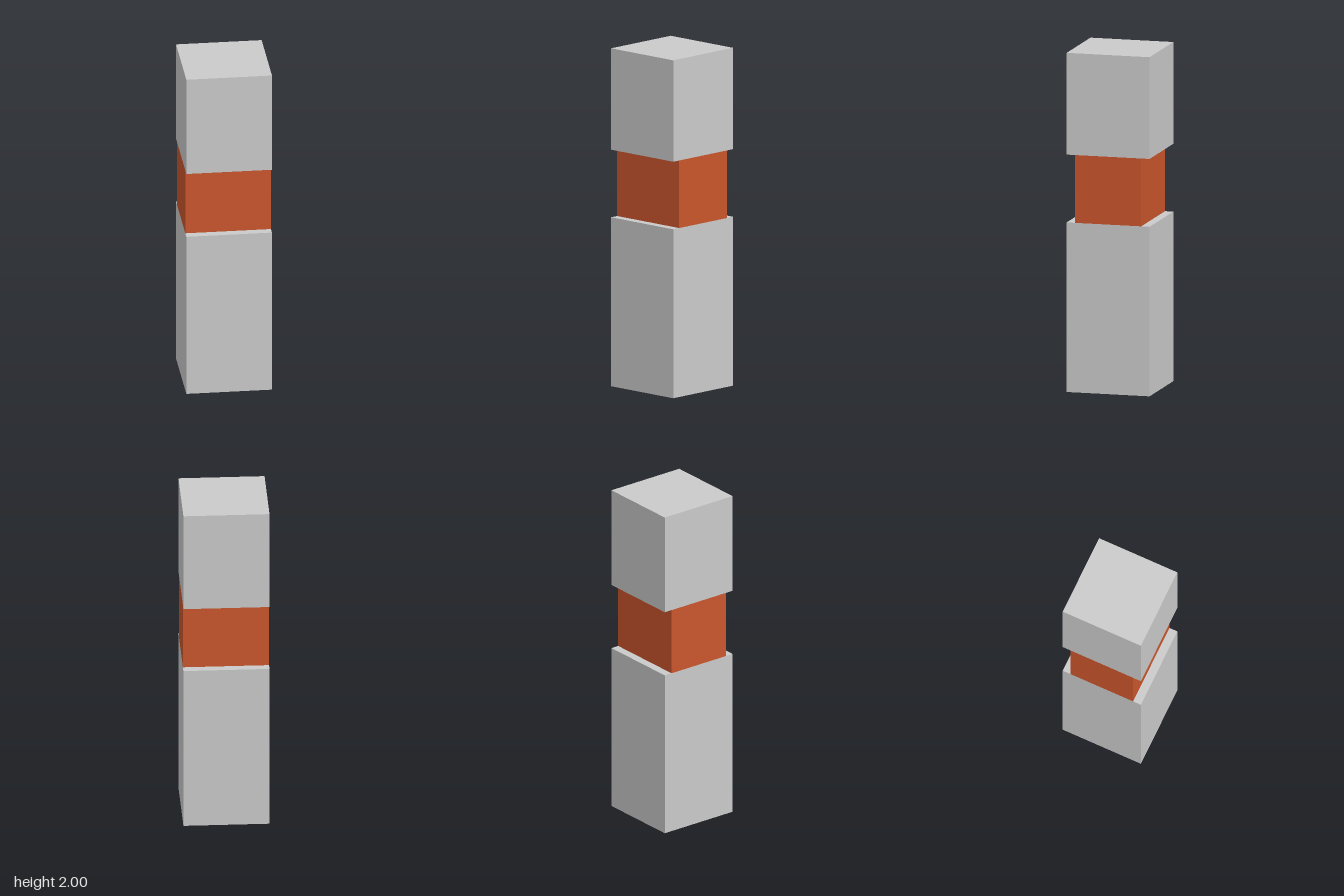
import * as THREE from 'three';

export function createModel() {
  const model = new THREE.Group();
  model.name = 'bandedPillar';

  const grey = new THREE.MeshStandardMaterial({ color: 0xcacaca });
  grey.name = 'light grey';
  const orange = new THREE.MeshStandardMaterial({ color: 0xca562c });
  orange.name = 'burnt orange';

  // A box spanning bottom to top, centred on x and z
  function addBlock(name, width, depth, bottom, top, material) {
    const mesh = new THREE.Mesh(new THREE.BoxGeometry(width, top - bottom, depth), material);
    mesh.name = name;
    mesh.position.y = (bottom + top) / 2;
    model.add(mesh);
  }

  addBlock('lowerBlock', 0.5, 0.5, 0, 1, grey);
  // The band is recessed at front and back, flush at the sides
  addBlock('middleBand', 0.5, 0.4, 1, 1.4, orange);
  addBlock('upperBlock', 0.5, 0.5, 1.4, 2, grey);

  return model;
}
